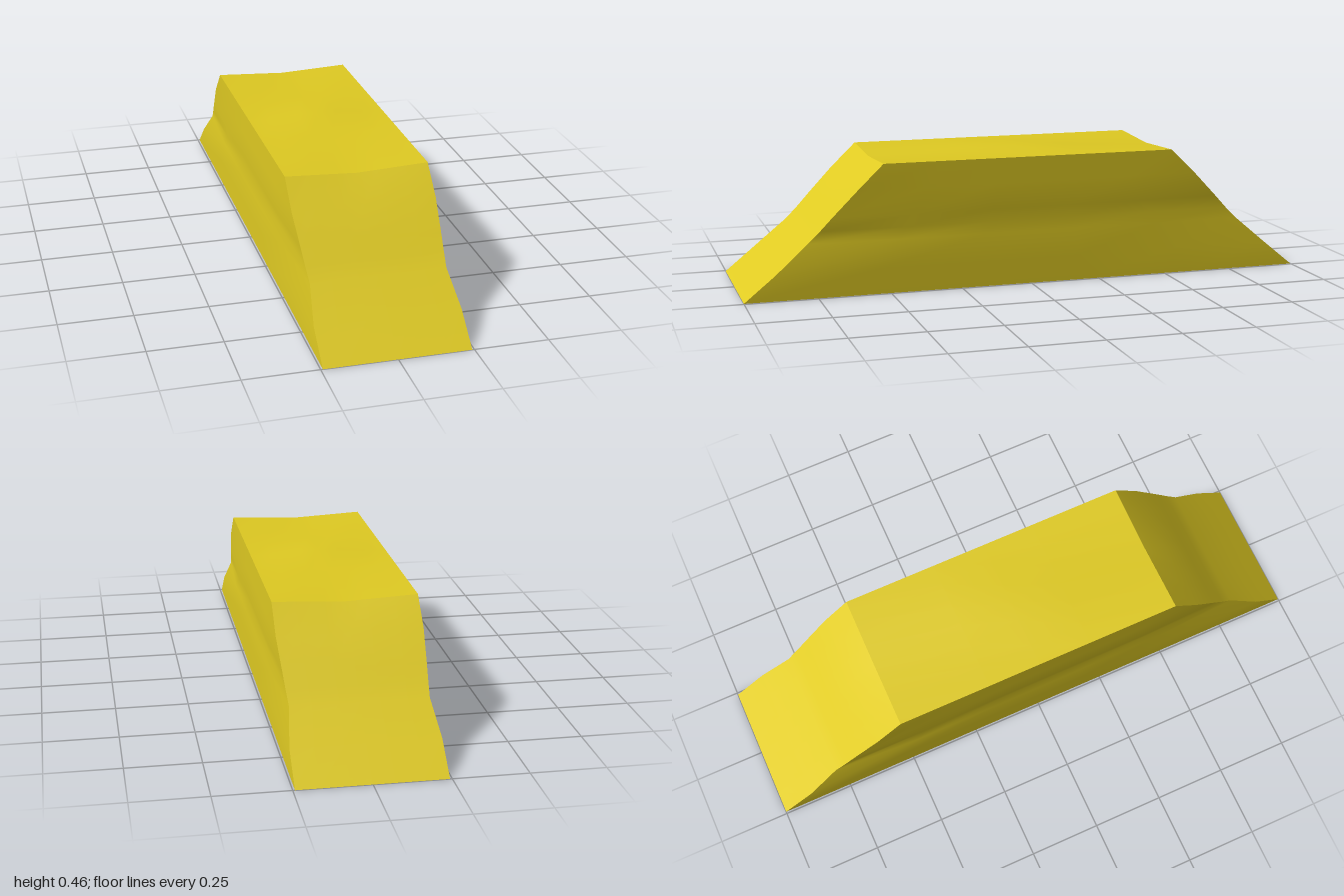
import * as THREE from 'three';

const W = 0.243, H = 0.447, TOP_Z = 0.52;
// Edge of the sloped ends, from the ground to the top: height, depth, half width
const ys = [0, 0.09, 0.185, 0.225, 0.27, 0.36, H];
const zs = [1, 0.89, 0.78, 0.739, 0.697, 0.61, TOP_Z];
const edgeX = [W, W, 0.227, 0.231, 0.235, W, W];
// Half width along the inside of the long flanks
const innerX = [W, W, 0.242, 0.235, W, W, W];
// Columns across the block, as fractions of the half width
const across = [-1, -0.68, -0.29, 0, 0.29, 0.68, 1];
const along = [1, 0.6, 0.2, -0.2, -0.6, -1];

// Smooth surface from a grid of points; the normal is column x row
function patch(cols, rows, point) {
  const pos = [], idx = [];
  for (let j = 0; j < rows; j++)
    for (let i = 0; i < cols; i++) pos.push(...point(i, j));
  for (let j = 0; j < rows - 1; j++)
    for (let i = 0; i < cols - 1; i++) {
      const a = j * cols + i, b = a + 1, c = a + cols, d = c + 1;
      idx.push(a, b, d, a, d, c);
    }
  const geo = new THREE.BufferGeometry();
  geo.setAttribute('position', new THREE.Float32BufferAttribute(pos, 3));
  geo.setIndex(idx);
  geo.computeVertexNormals();
  return geo;
}

// The rim at both ends of the top sags in the middle
const rimY = (f) => 0.435 + 0.012 * Math.abs(f);

export function createModel() {
  const group = new THREE.Group();
  group.name = 'bevelledBlock';
  const material = new THREE.MeshStandardMaterial({ color: 0xdfca22 });
  const add = (name, geo, turn = 0) => {
    const mesh = new THREE.Mesh(geo, material);
    mesh.name = name;
    mesh.rotation.y = turn;
    group.add(mesh);
  };

  // Sloped ends with a dent in each side edge
  const slope = patch(across.length, ys.length, (i, j) => [
    across[i] * edgeX[j],
    j === ys.length - 1 ? rimY(across[i]) : ys[j],
    zs[j],
  ]);
  add('frontSlope', slope);
  add('backSlope', slope, Math.PI);

  // Long flanks, slightly creased along the middle
  const flank = patch(along.length, ys.length, (i, j) => [
    Math.abs(along[i]) === 1 ? edgeX[j] : innerX[j],
    ys[j],
    along[i] * zs[j],
  ]);
  add('leftFlank', flank);
  add('rightFlank', flank, Math.PI);

  // Top with sagging rims and a low bump in the centre
  const topZ = [TOP_Z, 0.19, 0, -0.19, -TOP_Z];
  add('top', patch(across.length, topZ.length, (i, j) => {
    const f = across[i];
    let y = H;
    if (Math.abs(topZ[j]) === TOP_Z) y = rimY(f);
    else if (j === 2 && Math.abs(f) < 0.5) y = 0.458;
    return [f * W, y, topZ[j]];
  }));

  // Flat underside
  add('base', patch(2, 2, (i, j) => [(i * 2 - 1) * W, 0, j * 2 - 1]));
  return group;
}
